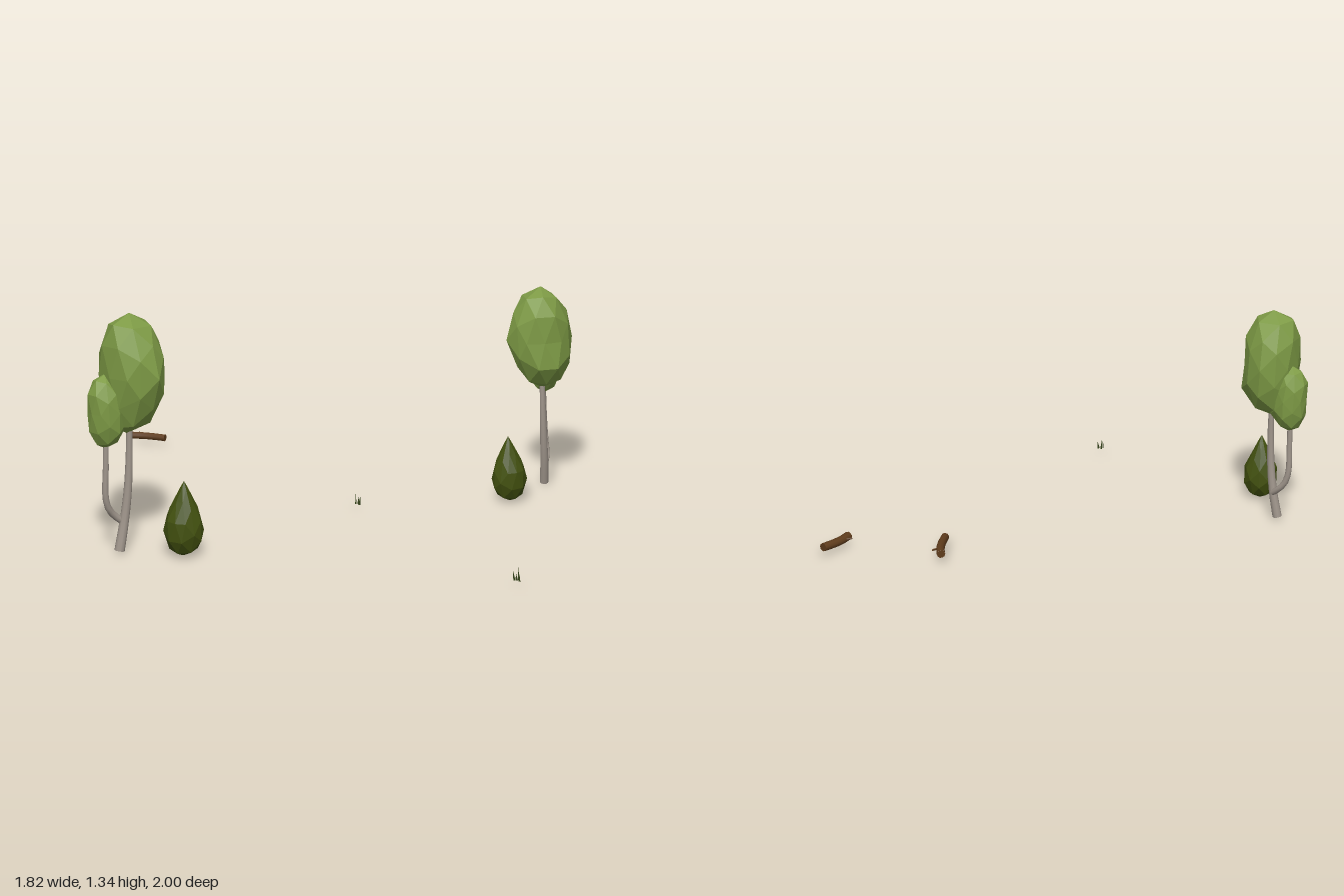
import * as THREE from 'three';

const mat = (name, color) => new THREE.MeshStandardMaterial({ name, color });

// Finds a row of a table at height y by linear interpolation
function rowAt(rows, y) {
  let i = 0;
  while (i < rows.length - 2 && rows[i + 1][0] < y) i++;
  const a = rows[i], b = rows[i + 1];
  const t = THREE.MathUtils.clamp((y - a[0]) / (b[0] - a[0]), 0, 1);
  return a.map((v, k) => v + (b[k] - v) * t);
}

// Faceted foliage: an icosphere fitted to rows of [y, xMin, xMax, zMin, zMax]
function foliage(name, rows, material, turn = 0) {
  const geo = new THREE.IcosahedronGeometry(1, 1).rotateY(turn);
  const p = geo.attributes.position;
  const y0 = rows[0][0], y1 = rows[rows.length - 1][0];
  for (let i = 0; i < p.count; i++) {
    const y = y0 + (y1 - y0) * (p.getY(i) + 1) / 2;
    const h = Math.hypot(p.getX(i), p.getZ(i)) || 1;
    const [, xa, xb, za, zb] = rowAt(rows, y);
    p.setXYZ(i,
      (xa + xb) / 2 + (p.getX(i) / h) * (xb - xa) / 2, y,
      (za + zb) / 2 + (p.getZ(i) / h) * (zb - za) / 2);
  }
  geo.computeVertexNormals();
  const mesh = new THREE.Mesh(geo, material);
  mesh.name = name;
  return mesh;
}

// Tapered round limb along a curve, with closed ends
function limb(name, points, r0, r1, material, capMaterial = material, seg = 12, sides = 10) {
  const group = new THREE.Group();
  group.name = name;
  const curve = new THREE.CatmullRomCurve3(points.map(q => new THREE.Vector3(...q)));
  const geo = new THREE.TubeGeometry(curve, seg, 1, sides);
  const p = geo.attributes.position, v = new THREE.Vector3();
  for (let i = 0; i < p.count; i++) {
    const t = Math.floor(i / (sides + 1)) / seg;
    const c = curve.getPointAt(t);
    v.fromBufferAttribute(p, i).sub(c).multiplyScalar(r0 + (r1 - r0) * t).add(c);
    p.setXYZ(i, v.x, v.y, v.z);
  }
  const side = new THREE.Mesh(geo, material);
  side.name = name + 'Side';
  group.add(side);
  for (const [t, r, s] of [[0, r0, -1], [1, r1, 1]]) {
    const cap = new THREE.Mesh(new THREE.CircleGeometry(r, sides), capMaterial);
    cap.name = name + 'End';
    cap.position.copy(curve.getPointAt(t));
    cap.lookAt(cap.position.clone().addScaledVector(curve.getTangentAt(t), s));
    group.add(cap);
  }
  return group;
}

export function createModel() {
  const leaf = mat('leafGreen', 0x7d9a45);
  const bushGreen = mat('bushGreen', 0x42500f);
  const bark = mat('paleBark', 0xa0968c);
  const wood = mat('logBrown', 0x5f3c1c);
  const grassGreen = mat('grassGreen', 0x38471a);
  const model = new THREE.Group();
  model.name = 'woodlandSet';

  // Tree: trunk, side branch and two crowns
  const tree = new THREE.Group();
  tree.name = 'tree';
  tree.add(
    limb('trunk', [[-0.743, 0.015, 0.493], [-0.71, 0.17, 0.495], [-0.688, 0.33, 0.5],
      [-0.677, 0.52, 0.503], [-0.675, 0.76, 0.503]], 0.029, 0.016, bark),
    limb('branch', [[-0.71, 0.175, 0.485], [-0.745, 0.205, 0.47], [-0.79, 0.255, 0.463],
      [-0.815, 0.33, 0.462], [-0.815, 0.5, 0.465], [-0.812, 0.68, 0.465]], 0.02, 0.015, bark),
    foliage('mainCrown', [
      [0.68, -0.69, -0.69, 0.5, 0.5],
      [0.73, -0.79, -0.57, 0.39, 0.61],
      [0.80, -0.81, -0.485, 0.335, 0.65],
      [0.92, -0.83, -0.495, 0.315, 0.70],
      [1.02, -0.83, -0.505, 0.305, 0.73],
      [1.18, -0.828, -0.505, 0.335, 0.68],
      [1.28, -0.80, -0.55, 0.40, 0.62],
      [1.31, -0.78, -0.59, 0.43, 0.58],
      [1.34, -0.67, -0.67, 0.50, 0.50]], leaf),
    foliage('smallCrown', [
      [0.61, -0.81, -0.81, 0.46, 0.46],
      [0.64, -0.87, -0.75, 0.40, 0.52],
      [0.71, -0.905, -0.69, 0.365, 0.56],
      [0.82, -0.91, -0.69, 0.36, 0.565],
      [0.95, -0.913, -0.72, 0.37, 0.55],
      [1.0, -0.87, -0.75, 0.41, 0.51],
      [1.025, -0.81, -0.81, 0.46, 0.46]], leaf));
  model.add(tree);

  // Teardrop bush, round in section: [height, radius]
  const bushRows = [[0, 0], [0.015, 0.055], [0.045, 0.082], [0.1, 0.108], [0.15, 0.112],
    [0.215, 0.104], [0.28, 0.077], [0.325, 0.053], [0.39, 0.022], [0.43, 0]]
    .map(([y, r]) => [y, -0.517 - r, -0.517 + r, 0.765 - r, 0.765 + r]);
  model.add(foliage('bush', bushRows, bushGreen, 0.3));

  // Fallen log with a twig stub
  const log = new THREE.Group();
  log.name = 'fallenLog';
  log.add(
    limb('log', [[0.77, 0.06, -0.985], [0.815, 0.06, -0.925], [0.85, 0.06, -0.86],
      [0.885, 0.06, -0.775]], 0.025, 0.024, wood),
    limb('twig', [[0.81, 0.062, -0.93], [0.828, 0.066, -0.955], [0.832, 0.07, -0.98]],
      0.007, 0.006, wood, wood, 4, 6));
  model.add(log);

  // Grass tuft: [x, z, height, lean]
  const grass = new THREE.Group();
  grass.name = 'grassTuft';
  const blades = [[0.765, 0.97, 0.075, 0.1], [0.786, 0.972, 0.05, -0.15],
    [0.77, 0.983, 0.04, 0.05], [0.764, 0.995, 0.06, 0.12]];
  blades.forEach(([x, z, h, lean], i) => {
    const geo = new THREE.ConeGeometry(0.007, h, 4).translate(0, h / 2, 0).scale(1, 1, 0.6);
    const blade = new THREE.Mesh(geo, grassGreen);
    blade.name = 'grassBlade';
    blade.position.set(x, 0.037, z);
    blade.rotation.set(0, i * 0.7, lean);
    grass.add(blade);
  });
  model.add(grass);
  return model;
}
